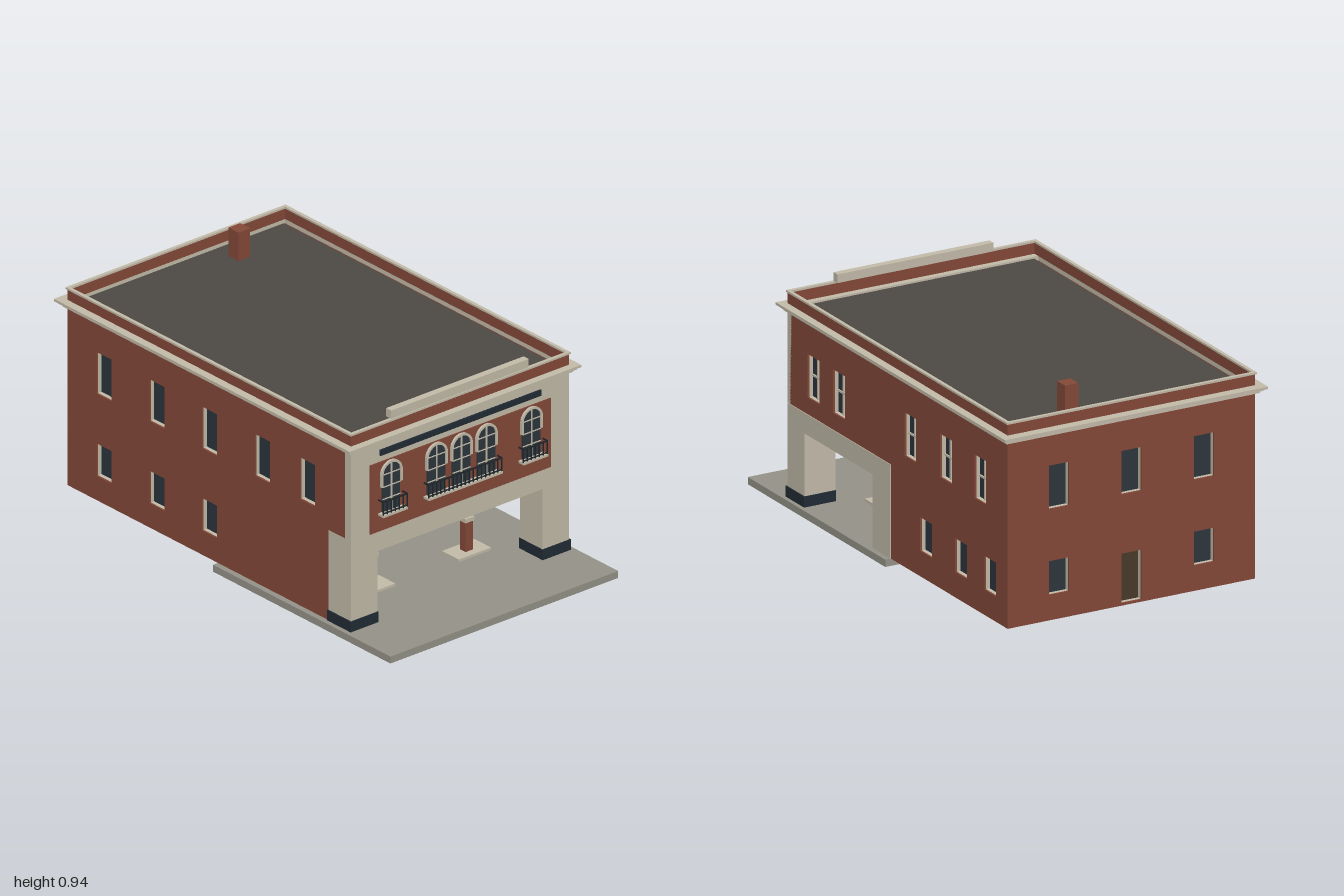
import * as THREE from 'three';

const mat = (name, color) => Object.assign(new THREE.MeshStandardMaterial({ color }), { name });

export function createModel() {
  const brick = mat('brick', 0x864a3a), cream = mat('cream stone', 0xc6beac), concrete = mat('concrete', 0x97958a);
  const roofing = mat('roofing', 0x4e4a45), glass = mat('window glass', 0x2d363d), navy = mat('navy trim', 0x222c36);
  const wood = mat('door wood', 0x4a3b2b), iron = mat('iron', 0x20262c);
  const root = new THREE.Group();
  root.name = 'building';

  const add = (parent, name, geo, material) => {
    const m = new THREE.Mesh(geo, material);
    m.name = name;
    parent.add(m);
    return m;
  };
  // Box given by its minimum and maximum corners
  const box = (parent, name, material, x0, x1, y0, y1, z0, z1) => {
    const m = add(parent, name, new THREE.BoxGeometry(x1 - x0, y1 - y0, z1 - z0), material);
    m.position.set((x0 + x1) / 2, (y0 + y1) / 2, (z0 + z1) / 2);
    return m;
  };
  const poly = (pts) => new THREE.Shape(pts.map(([x, y]) => new THREE.Vector2(x, y)));
  const rect = (x0, x1, y0, y1) => poly([[x0, y0], [x1, y0], [x1, y1], [x0, y1]]);
  const extrude = (shape, depth) => new THREE.ExtrudeGeometry(shape, { depth, bevelEnabled: false, curveSegments: 12 });
  // Hollow rectangular course running around the building
  const ring = (name, material, x, zb, zf, ix, izb, izf, y0, y1) => {
    const s = rect(-x, x, -zf, -zb);
    s.holes.push(rect(-ix, ix, -izf, -izb));
    const m = add(root, name, extrude(s, y1 - y0), material);
    m.rotation.x = -Math.PI / 2;
    m.position.y = y0;
  };

  // Thin wall with recessed openings; local +z points outwards
  const T = 0.008, DEEP = 0.03;
  const wall = (name, angle, distance, outline, openings) => {
    const g = new THREE.Group();
    g.name = name;
    g.rotation.y = angle;
    g.position.set(Math.sin(angle) * distance, 0, Math.cos(angle) * distance);
    root.add(g);
    const s = poly(outline);
    for (const o of openings) {
      const x0 = o.u - 0.045, x1 = o.u + 0.045, e = 0.006;
      s.holes.push(rect(x0, x1, o.y0, o.y1));
      const f = rect(x0 - e, x1 + e, o.y0 - e, o.y1 + e);
      f.holes.push(rect(x0, x1, o.y0, o.y1));
      add(g, 'windowReveal', extrude(f, DEEP - T), cream).position.z = -DEEP;
      box(g, o.door ? 'backDoor' : 'windowPane', o.door ? wood : glass, x0, x1, o.y0, o.y1, -DEEP, -DEEP + 0.005);
      if (o.bars) {
        const ym = (o.y0 + o.y1) / 2;
        box(g, 'windowBar', cream, o.u - 0.004, o.u + 0.004, o.y0, o.y1, -0.025, -0.019);
        box(g, 'windowBar', cream, x0, x1, ym - 0.004, ym + 0.004, -0.025, -0.019);
      }
    }
    add(g, name + 'Brick', extrude(s, T), brick).position.z = -T;
  };
  const upper = (u, bars) => ({ u, y0: 0.49, y1: 0.67, bars });
  const lower = (u) => ({ u, y0: 0.135, y1: 0.275 });

  wall('leftWall', Math.PI / 2, 0.555,
    [[0.06, 0.03], [0.96, 0.03], [0.96, 0.81], [-0.725, 0.81], [-0.725, 0.42], [0.06, 0.42]],
    [...[-0.537, -0.34, 0.21, 0.485, 0.75].map((u) => upper(u, true)), ...[0.33, 0.6, 0.825].map(lower)]);
  wall('rightWall', -Math.PI / 2, 0.555,
    [[-0.96, 0.03], [0.6, 0.03], [0.6, 0.42], [0.7, 0.42], [0.7, 0.81], [-0.96, 0.81]],
    [...[-0.74, -0.425, -0.11, 0.205, 0.475].map((u) => upper(u)), ...[-0.74, -0.425, -0.11].map(lower)]);
  wall('backWall', Math.PI, 0.96,
    [[-0.555, 0.03], [0.555, 0.03], [0.555, 0.81], [-0.555, 0.81]],
    [...[-0.325, 0, 0.325].map((u) => upper(u)), lower(-0.325), lower(0.325), { u: 0, y0: 0.04, y1: 0.245, door: true }]);

  // Forecourt slab
  box(root, 'forecourtSlab', concrete, -0.58, 0.58, 0, 0.03, -0.06, 1);

  // Front facade with the wide porch opening
  add(root, 'frontFacade', extrude(poly([[-0.555, 0.03], [-0.42, 0.03], [-0.42, 0.335], [0.42, 0.335],
    [0.42, 0.03], [0.555, 0.03], [0.555, 0.81], [-0.555, 0.81]]), 0.035), cream).position.z = 0.7;

  // Porch piers, side beam, soffit and plinths
  for (const s of [-1, 1]) {
    const span = s < 0 ? [-0.555, -0.42] : [0.42, 0.558];
    box(root, 'frontPier', cream, ...span, 0.03, s < 0 ? 0.42 : 0.335, 0.6, 0.733);
    box(root, 'pierPlinth', navy, s < 0 ? -0.56 : 0.418, s < 0 ? -0.418 : 0.562, 0.03, 0.075, 0.597, 0.739);
  }
  box(root, 'rearPier', cream, 0.42, 0.558, 0.03, 0.335, -0.06, 0.075);
  box(root, 'sideBeam', cream, 0.42, 0.558, 0.335, 0.42, -0.06, 0.733);
  box(root, 'porchSoffit', cream, -0.545, 0.42, 0.335, 0.345, -0.06, 0.7);

  // Recessed shop front
  box(root, 'shopWall', brick, -0.42, 0.42, 0.03, 0.335, -0.06, -0.045);
  for (const s of [-1, 1]) box(root, 'shopWindow', glass, s * 0.225 - 0.135, s * 0.225 + 0.135, 0.11, 0.272, -0.064, -0.041);
  box(root, 'shopDoor', wood, -0.055, 0.055, 0.035, 0.245, -0.064, -0.041);
  box(root, 'porchSideWindow', glass, -0.547, -0.541, 0.11, 0.275, 0.235, 0.375);

  // Upper front panel and sign band
  box(root, 'frontBrickPanel', brick, -0.46, 0.46, 0.42, 0.718, 0.734, 0.739);
  box(root, 'signBand', navy, -0.41, 0.41, 0.745, 0.77, 0.734, 0.742);

  // Arched windows
  const arch = (r, y0) => {
    const s = new THREE.Shape();
    s.moveTo(-r, y0);
    s.lineTo(r, y0);
    s.lineTo(r, 0.66);
    s.absarc(0, 0.66, r, 0, Math.PI, false);
    s.lineTo(-r, y0);
    return s;
  };
  const surround = new THREE.Shape();
  surround.moveTo(0.054, 0.61);
  surround.lineTo(0.054, 0.66);
  surround.absarc(0, 0.66, 0.054, 0, Math.PI, false);
  surround.lineTo(-0.054, 0.61);
  surround.lineTo(-0.044, 0.61);
  surround.lineTo(-0.044, 0.66);
  surround.absarc(0, 0.66, 0.044, Math.PI, 0, true);
  surround.lineTo(0.044, 0.61);
  for (const x of [-0.357, -0.127, 0, 0.127, 0.357]) {
    const g = new THREE.Group();
    g.name = 'archedWindow';
    g.position.set(x, 0, 0.739);
    root.add(g);
    add(g, 'archedPane', extrude(arch(0.046, 0.5), 0.004), glass);
    add(g, 'archSurround', extrude(surround, 0.01), cream);
    box(g, 'windowBar', cream, -0.003, 0.003, 0.5, 0.704, 0.003, 0.007);
    for (const y of [0.555, 0.607, 0.66]) box(g, 'windowBar', cream, -0.045, 0.045, y - 0.002, y + 0.002, 0.003, 0.007);
  }

  // Balconies with iron railings
  for (const [x, w] of [[-0.357, 0.063], [0, 0.188], [0.357, 0.063]]) {
    const g = new THREE.Group();
    g.name = 'balcony';
    g.position.x = x;
    root.add(g);
    box(g, 'balconySlab', cream, -w, w, 0.49, 0.5, 0.735, 0.77);
    box(g, 'topRail', iron, -w, w, 0.554, 0.56, 0.764, 0.769);
    box(g, 'bottomRail', iron, -w, w, 0.505, 0.509, 0.764, 0.769);
    const n = Math.round(w * 2 / 0.021);
    for (let i = 0; i <= n; i++) {
      const p = -w + 0.002 + (2 * w - 0.004) * i / n;
      box(g, 'baluster', iron, p - 0.002, p + 0.002, 0.5, 0.557, 0.7645, 0.7685);
    }
    for (const s of [-1, 1]) box(g, 'sideRail', iron, s * (w - 0.002) - 0.002, s * (w - 0.002) + 0.002, 0.554, 0.56, 0.737, 0.766);
  }

  // Stepped cornice, parapet, coping and roof
  ring('lowerCornice', cream, 0.568, -0.975, 0.747, 0.55, -0.955, 0.7, 0.8, 0.81);
  ring('middleCornice', cream, 0.578, -0.985, 0.757, 0.55, -0.955, 0.7, 0.81, 0.82);
  ring('upperCornice', cream, 0.59, -1, 0.768, 0.55, -0.955, 0.7, 0.82, 0.83);
  ring('parapet', brick, 0.555, -0.96, 0.735, 0.547, -0.952, 0.727, 0.83, 0.876);
  ring('parapetCoping', cream, 0.56, -0.965, 0.74, 0.545, -0.95, 0.725, 0.876, 0.884);
  box(root, 'raisedCentreParapet', cream, -0.35, 0.35, 0.884, 0.92, 0.705, 0.735);
  box(root, 'roof', roofing, -0.53, 0.53, 0.808, 0.822, -0.94, 0.7);
  box(root, 'chimney', brick, 0.18, 0.24, 0.82, 0.945, -0.86, -0.8);

  // Lamp pedestals in the porch
  for (const x of [-0.245, 0.242]) {
    const g = new THREE.Group();
    g.name = 'lampPedestal';
    g.position.set(x, 0, 0.49);
    root.add(g);
    box(g, 'pedestalBase', cream, -0.082, 0.082, 0.03, 0.041, -0.05, 0.05);
    box(g, 'pedestalShaft', brick, -0.019, 0.019, 0.041, 0.167, -0.017, 0.017);
    box(g, 'pedestalCap', cream, -0.023, 0.023, 0.167, 0.184, -0.021, 0.021);
    box(g, 'sidePlate', iron, 0.019, 0.025, 0.08, 0.165, -0.008, 0.004);
    add(g, 'lampStem', new THREE.CylinderGeometry(0.008, 0.01, 0.012, 8), iron).position.y = 0.189;
    add(g, 'lampGlobe', new THREE.SphereGeometry(0.021, 8, 6), cream).position.y = 0.21;
  }
  return root;
}
